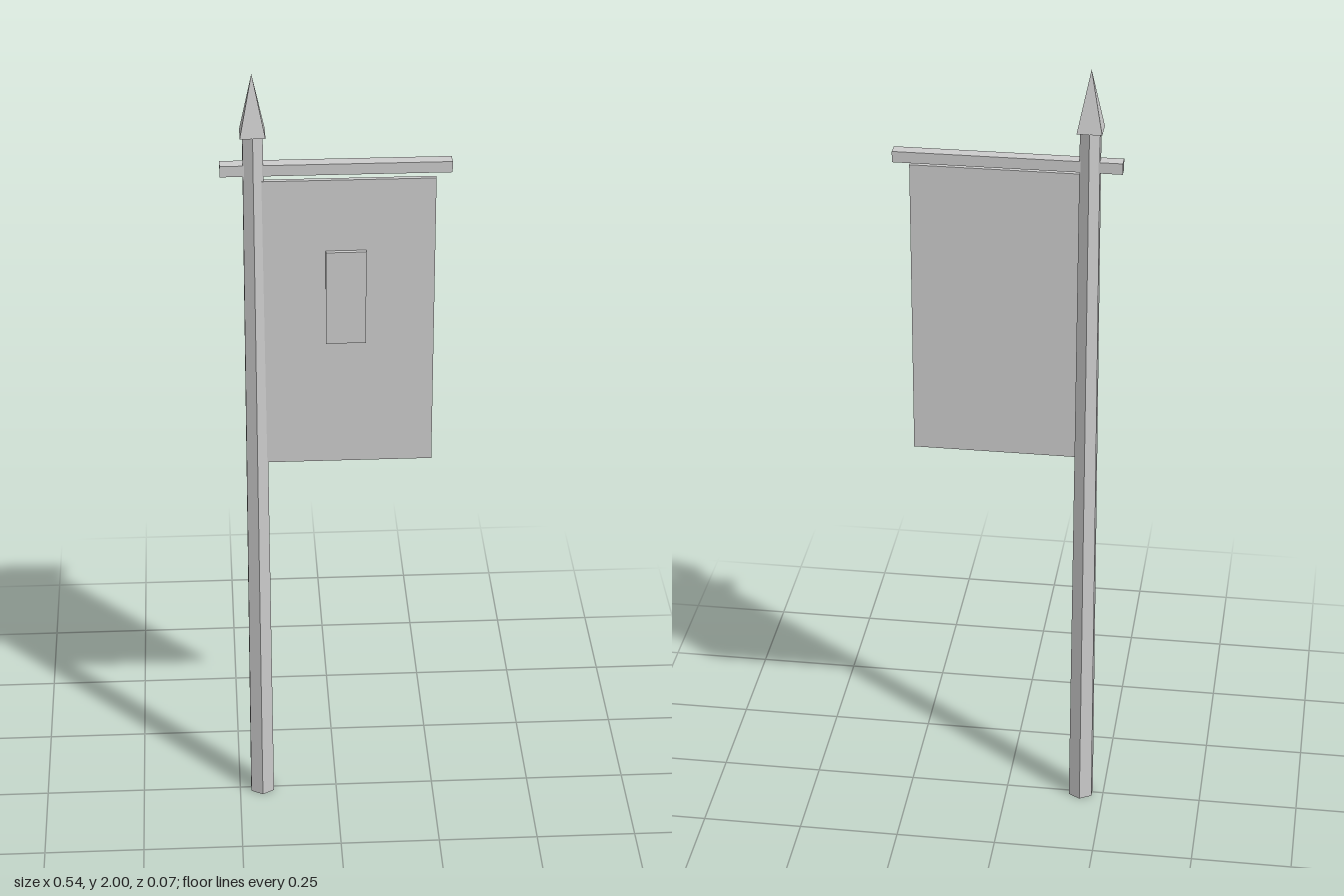
import * as THREE from 'three';

export function createModel() {
  const model = new THREE.Group();
  model.name = 'bannerOnPole';
  const material = new THREE.MeshStandardMaterial({ color: 0xcccccc, flatShading: true });

  const add = (name, geometry, x, y, z = 0) => {
    const mesh = new THREE.Mesh(geometry, material);
    mesh.name = name;
    mesh.position.set(x, y, z);
    model.add(mesh);
  };

  // Box given by its lower and upper corners
  const addBox = (name, [x0, y0, z0], [x1, y1, z1]) =>
    add(name, new THREE.BoxGeometry(x1 - x0, y1 - y0, z1 - z0),
      (x0 + x1) / 2, (y0 + y1) / 2, (z0 + z1) / 2);

  const poleX = -0.192;
  const poleTop = 1.852;

  // Tapered six-sided pole
  add('pole', new THREE.CylinderGeometry(0.027, 0.034, poleTop, 6), poleX, poleTop / 2);

  // Four-sided pointed tip, square to the axes
  const tipHeight = 2 - poleTop;
  add('spearTip', new THREE.ConeGeometry(0.0417, tipHeight, 4).rotateY(Math.PI / 4),
    poleX, poleTop + tipHeight / 2);

  // Crossbar, hanging cloth and the raised plate on its front
  addBox('crossbar', [-0.269, 1.752, -0.0155], [0.269, 1.779, 0.0155]);
  addBox('bannerCloth', [-0.18, 0.99, 0.005], [0.232, 1.739, 0.0165]);
  addBox('bannerPlate', [-0.025, 1.318, 0.015], [0.07, 1.558, 0.027]);

  return model;
}
